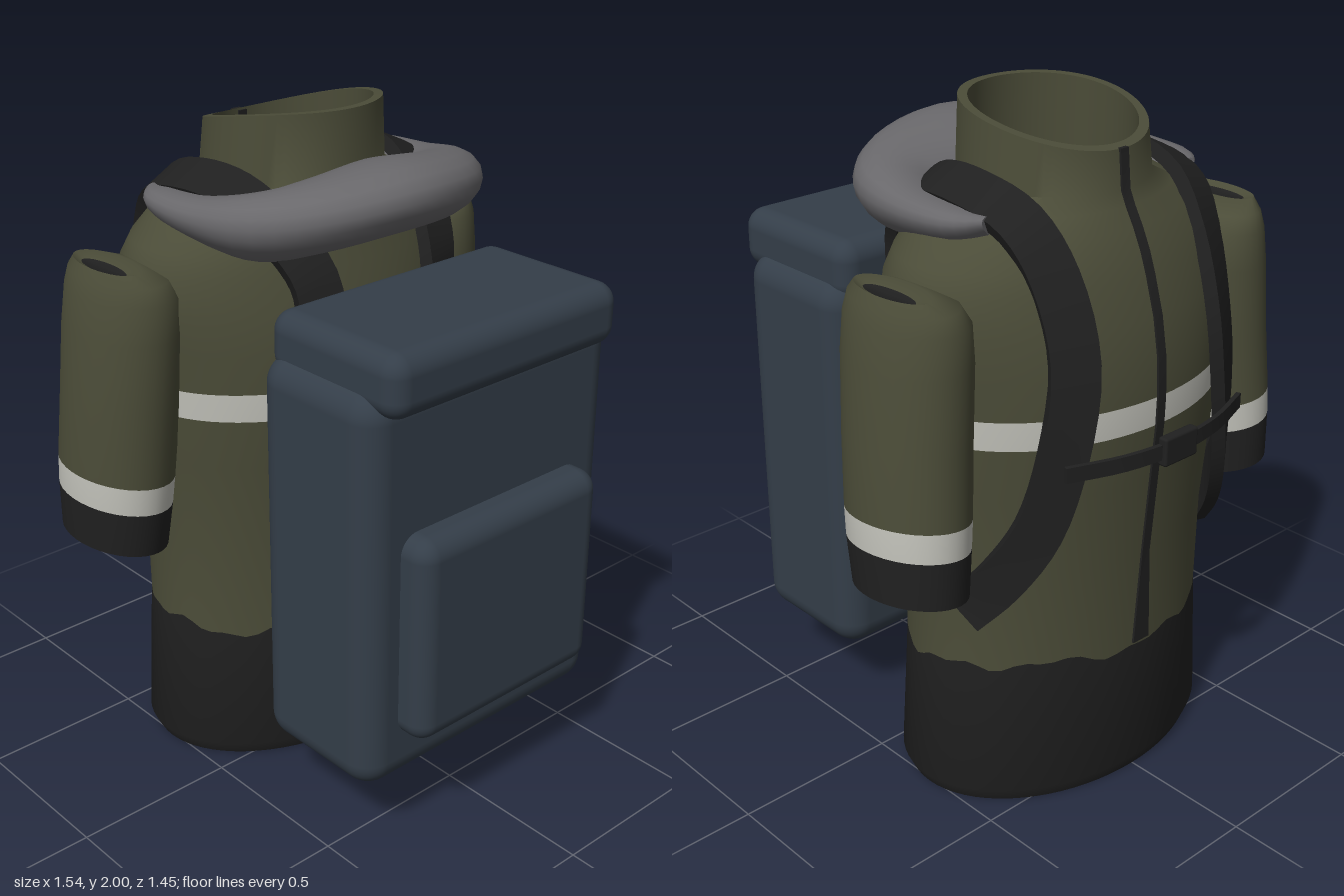
import * as THREE from 'three';
import { toCreasedNormals } from 'three/addons/utils/BufferGeometryUtils.js';
import { RoundedBoxGeometry } from 'three/addons/geometries/RoundedBoxGeometry.js';

const mat = (name, color) => {
  const m = new THREE.MeshStandardMaterial({ color, side: THREE.DoubleSide });
  m.name = name;
  return m;
};
const V = (x, y, z) => new THREE.Vector3(x, y, z);

// Skin a list of closed rings; bands[i] is the material index between ring i and i + 1
function loft(rings, { bands = [], capStart = -1, capEnd = -1, crease = 0.9 } = {}) {
  const n = rings[0].length, pos = [], idx = [];
  const geo = new THREE.BufferGeometry();
  rings.forEach(r => r.forEach(p => pos.push(p.x, p.y, p.z)));
  for (let i = 0; i < rings.length - 1; i++) {
    geo.addGroup(idx.length, n * 6, bands[i] ?? 0);
    for (let j = 0; j < n; j++) {
      const a = i * n + j, b = i * n + (j + 1) % n;
      idx.push(a, b, b + n, a, b + n, a + n);
    }
  }
  const cap = (i, flip, m) => {
    const c = pos.length / 3, mid = V(0, 0, 0);
    rings[i].forEach(p => mid.addScaledVector(p, 1 / n));
    pos.push(mid.x, mid.y, mid.z);
    geo.addGroup(idx.length, n * 3, m);
    for (let j = 0; j < n; j++) {
      const a = i * n + j, b = i * n + (j + 1) % n;
      idx.push(c, flip ? b : a, flip ? a : b);
    }
  };
  if (capStart >= 0) cap(0, true, capStart);
  if (capEnd >= 0) cap(rings.length - 1, false, capEnd);
  geo.setAttribute('position', new THREE.Float32BufferAttribute(pos, 3));
  geo.setIndex(idx);
  return toCreasedNormals(geo, crease);
}

// Ring of n points from an angle function; angle 0 is +z, turning to +x
const ring = (n, f) => Array.from({ length: n }, (_, j) => f(j / n * Math.PI * 2));

// Flat band swept along a path, lying against the torso
function bandAlong(points, width, thick, steps) {
  const curve = new THREE.CatmullRomCurve3(points);
  const rings = [];
  for (let i = 0; i <= steps; i++) {
    const p = curve.getPoint(i / steps), t = curve.getTangent(i / steps);
    const n = p.clone().sub(V(p.x * 0.3, Math.min(p.y, 1.3), -0.24));
    n.addScaledVector(t, -n.dot(t)).normalize();
    const s = n.clone().cross(t);
    rings.push([[-1, -1], [1, -1], [1, 1], [-1, 1]].map(([a, b]) =>
      p.clone().addScaledVector(s, a * width / 2).addScaledVector(n, b * thick / 2)));
  }
  return loft(rings, { capStart: 0, capEnd: 0, crease: 0.7 });
}

export function createModel() {
  const group = new THREE.Group();
  const olive = mat('olive cloth', 0x4b4c38), black = mat('black cloth', 0x202020);
  const grey = mat('grey hood', 0x69686b), white = mat('reflective band', 0xc2c2ba);
  const navy = mat('navy pack', 0x343e49);
  const cloth = [olive, black, white];
  const add = (name, geo, m, x = 0, y = 0, z = 0) => {
    const mesh = new THREE.Mesh(geo, m);
    mesh.name = name;
    mesh.position.set(x, y, z);
    group.add(mesh);
    return mesh;
  };

  // Jacket body with hem, chest band and open collar: y, half width, centre z, half depth
  const body = [
    [0, 0.51, -0.24, 0.35], [0.04, 0.53, -0.24, 0.365], [0.45, 0.5, -0.24, 0.36],
    [0.75, 0.5, -0.243, 0.362], [1, 0.52, -0.24, 0.385], [1.16, 0.535, -0.238, 0.4],
    [1.245, 0.54, -0.238, 0.402], [1.36, 0.553, -0.236, 0.398], [1.47, 0.566, -0.235, 0.38],
    [1.58, 0.56, -0.235, 0.347], [1.64, 0.525, -0.232, 0.328], [1.7, 0.46, -0.226, 0.305],
    [1.75, 0.36, -0.22, 0.282], [1.79, 0.272, -0.215, 0.268], [2, 0.257, -0.21, 0.262],
    [2, 0.23, -0.21, 0.235], [1.74, 0.235, -0.21, 0.24],
  ];
  const collarY = z => 2 - 0.1 * Math.pow(Math.max(0, 0.05 - z) / 0.52, 1.7);
  const hemY = a => 0.45 + 0.014 * Math.sin(3 * a + 1) + 0.011 * Math.sin(8 * a) + 0.008 * Math.sin(17 * a);
  const bodyRings = body.map(([y, rx, zc, rz]) => ring(72, a => {
    const z = zc + rz * Math.cos(a);
    return V(rx * Math.sin(a), y === 2 ? collarY(z) : y === 0.45 ? hemY(a) : y, z);
  }));
  add('jacketBody', loft(bodyRings, { bands: [1, 1, 0, 0, 0, 2], capStart: 1 }), cloth);

  // Zip down the jacket opening, wider at its foot
  const zip = body.slice(2, 15).map(([y, , zc, rz], i) => {
    const z = zc - rz, w = i === 0 ? 0.032 : 0.015, d = i > 10 ? 0.033 : 0.01;
    const yy = y === 2 ? collarY(z) + 0.002 : y;
    return [V(-w, yy, z + d), V(w, yy, z + d), V(w, yy, z - 0.006), V(-w, yy, z - 0.006)];
  });
  add('zip', loft(zip, { capEnd: 0, crease: 0.6 }), black);

  // Sleeves: y, centre x, half width, centre z, half depth, tilt
  const sleeve = [
    [0.76, 0.625, 0.14, -0.315, 0.185, 1], [0.9, 0.62, 0.15, -0.305, 0.195, 1],
    [0.985, 0.615, 0.154, -0.3, 0.197, 1], [1.2, 0.6, 0.155, -0.285, 0.2, 0.5],
    [1.42, 0.585, 0.15, -0.275, 0.207, 0], [1.53, 0.58, 0.138, -0.272, 0.203, 0],
    [1.58, 0.59, 0.112, -0.272, 0.185, 0], [1.613, 0.625, 0.06, -0.272, 0.14, 0],
    [1.6, 0.635, 0.03, -0.272, 0.1, 0],
  ];
  for (const side of [1, -1]) {
    const rings = sleeve.map(([y, cx, rx, zc, rz, k]) => ring(36, a => {
      const dx = rx * Math.sin(a), dz = rz * Math.cos(a);
      return V(side * cx + dx, y + k * (0.13 * side * dx - 0.06 * dz), zc + dz);
    }));
    add(side > 0 ? 'leftSleeve' : 'rightSleeve',
      loft(rings, { bands: [1, 2], capStart: 1, capEnd: 1 }), cloth);

    // Shoulder strap from the pack over the shoulder and round to the waist
    add(side > 0 ? 'leftStrap' : 'rightStrap', bandAlong([
      V(0.22, 1.42, 0.175), V(0.235, 1.58, 0.15), V(0.28, 1.71, 0.05), V(0.32, 1.79, -0.08),
      V(0.335, 1.8, -0.25), V(0.32, 1.75, -0.42), V(0.295, 1.62, -0.52), V(0.285, 1.4, -0.59),
      V(0.32, 1.15, -0.59), V(0.37, 0.93, -0.55), V(0.43, 0.77, -0.47), V(0.48, 0.645, -0.37),
    ].map(p => V(p.x * side, p.y, p.z)), 0.135, 0.04, 44), black);
  }

  // Hood folded round the collar: centre x, y, z, half depth, half height
  const half = [
    [0.34, 1.73, -0.35, 0.07, 0.03], [0.365, 1.72, -0.27, 0.11, 0.055],
    [0.365, 1.715, -0.1, 0.12, 0.075], [0.32, 1.725, 0.04, 0.14, 0.1],
    [0.2, 1.75, 0.12, 0.17, 0.105],
  ];
  const hood = [...half.map(([x, ...r]) => [-x, ...r]), [0, 1.77, 0.155, 0.19, 0.11], ...half.reverse()];
  const path = new THREE.CatmullRomCurve3(hood.map(h => V(h[0], h[1], h[2])));
  const sizes = new THREE.CatmullRomCurve3(hood.map(h => V(h[3], h[4], 0)));
  const hoodRings = [];
  for (let i = 0; i <= 40; i++) {
    const p = path.getPoint(i / 40), t = path.getTangent(i / 40), s = sizes.getPoint(i / 40);
    const out = V(-t.z, 0, t.x).normalize();
    hoodRings.push(ring(20, a => p.clone().addScaledVector(out, s.x * Math.sin(a))
      .add(V(0, s.y * Math.cos(a) + 0.03 * Math.sin(a), 0))));
  }
  add('hood', loft(hoodRings, { capStart: 0, capEnd: 0 }), grey);

  // Chest strap and buckle
  const chest = [0.35, 0.18, 0, -0.18, -0.35].map(x => V(x, 1.12, -0.708 + 0.65 * x * x));
  add('chestStrap', bandAlong(chest, 0.045, 0.014, 16), black);
  add('buckle', new RoundedBoxGeometry(0.13, 0.085, 0.032, 2, 0.008), black, 0, 1.12, -0.709);

  // Backpack
  add('packBody', new RoundedBoxGeometry(0.95, 1.22, 0.455, 5, 0.085), navy, 0, 0.835, 0.405);
  add('packLid', new RoundedBoxGeometry(0.87, 0.185, 0.505, 5, 0.06), navy, 0, 1.467, 0.433);
  add('packPocket', new RoundedBoxGeometry(0.71, 0.635, 0.18, 5, 0.06), navy, 0, 0.702, 0.635);

  return group;
}
